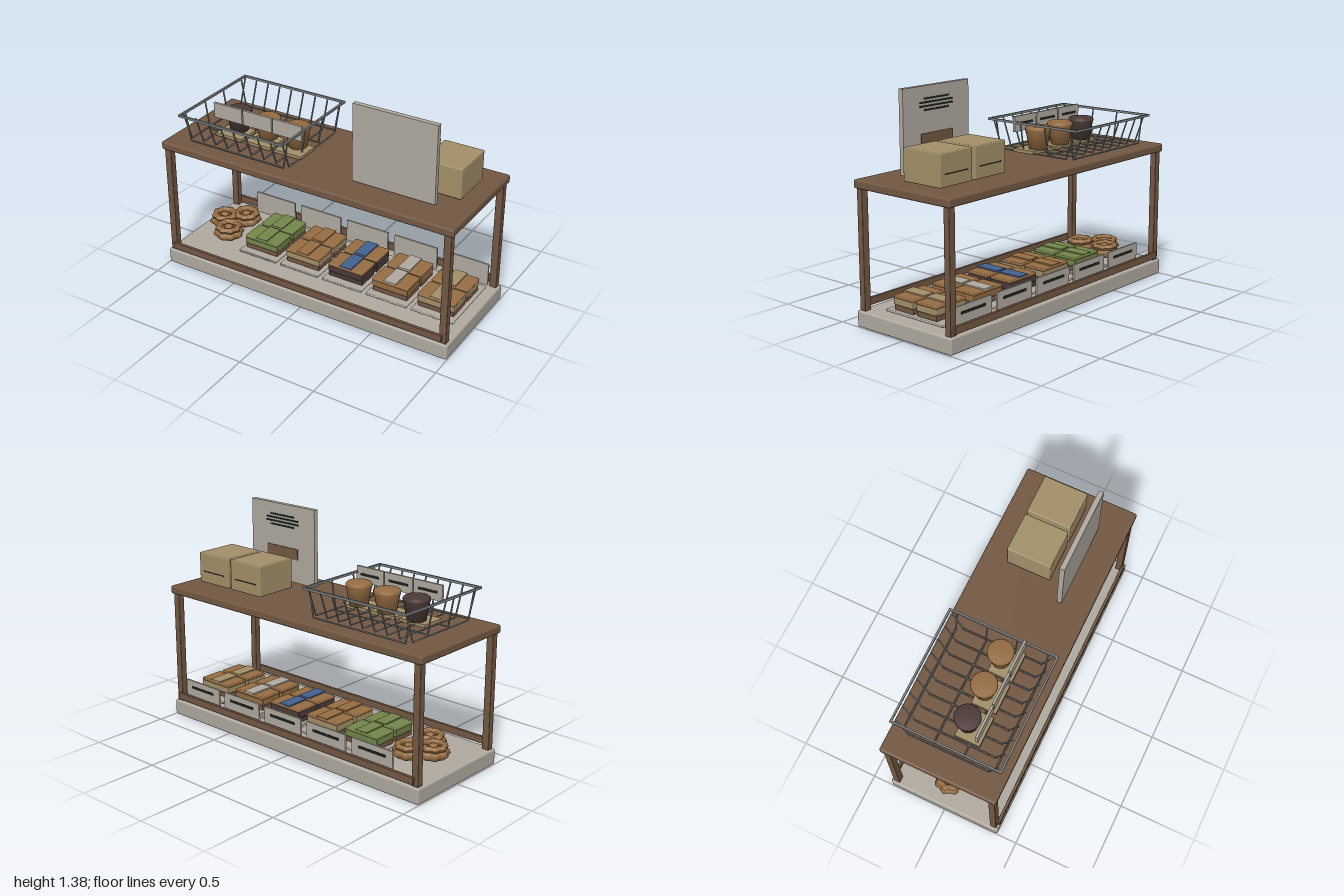
import * as THREE from 'three';
import { RoundedBoxGeometry } from 'three/addons/geometries/RoundedBoxGeometry.js';

const mat = (name, color) => Object.assign(new THREE.MeshStandardMaterial({ color }), { name });

export function createModel() {
  const M = {
    stone: mat('pale grey', 0xb0aaa0),
    wood: mat('wood brown', 0x735843),
    card: mat('cardboard tan', 0xa39069),
    bread: mat('baked brown', 0x966d42),
    plum: mat('dark plum', 0x4c3a38),
    green: mat('leaf green', 0x74864a),
    blue: mat('wrap blue', 0x44618f),
    metal: mat('wire grey', 0x808484),
    ink: mat('ink black', 0x1c221f),
  };
  const root = new THREE.Group();
  root.name = 'bakeryCounter';

  const group = (name, parent = root) => {
    const g = new THREE.Group();
    g.name = name;
    parent.add(g);
    return g;
  };
  const add = (name, geometry, material, parent = root) => {
    const m = new THREE.Mesh(geometry, material);
    m.name = name;
    parent.add(m);
    return m;
  };
  // Box given by its lower and upper limits; r rounds the edges
  const box = (name, x0, x1, y0, y1, z0, z1, material, parent, r = 0) => {
    const s = [x1 - x0, y1 - y0, z1 - z0];
    const geo = r ? new RoundedBoxGeometry(...s, 2, r) : new THREE.BoxGeometry(...s);
    const m = add(name, geo, material, parent);
    m.position.set((x0 + x1) / 2, (y0 + y1) / 2, (z0 + z1) / 2);
    return m;
  };
  // Thin round wire between two points
  const rod = (name, a, b, radius, material, parent) => {
    const p = new THREE.Vector3(...a), q = new THREE.Vector3(...b);
    const m = add(name, new THREE.CylinderGeometry(radius, radius, p.distanceTo(q), 6), material, parent);
    m.position.copy(p).add(q).multiplyScalar(0.5);
    m.quaternion.setFromUnitVectors(new THREE.Vector3(0, 1, 0), q.sub(p).normalize());
  };

  // Counter frame
  const frame = group('counterFrame');
  box('base', -1, 1, 0, 0.1, -0.37, 0.37, M.stone, frame, 0.012);
  box('counterTop', -1, 1, 0.82, 0.872, -0.37, 0.37, M.wood, frame, 0.012);
  for (const sx of [-1, 1]) for (const sz of [-1, 1]) {
    box('leg', sx * 0.963 - 0.023, sx * 0.963 + 0.023, 0.1, 0.825,
      sz * 0.336 - 0.021, sz * 0.336 + 0.021, M.wood, frame, 0.004);
  }
  for (const s of [-1, 1]) {
    box('lowerRail', -0.96, 0.96, 0.112, 0.157, s * 0.36 - 0.01, s * 0.36 + 0.01, M.wood, frame, 0.003);
  }

  // Sandwich trays with paired, banded sandwiches and a card behind each
  const kinds = [
    [M.wood, M.green, M.green, M.green],
    [M.wood, M.card, M.bread, M.bread],
    [M.plum, M.plum, M.bread, M.blue],
    [M.wood, M.bread, M.bread, M.stone],
    [M.wood, M.card, M.bread, M.card],
  ];
  kinds.forEach(([bottom, filling, lid, band], i) => {
    const x = -0.435 + i * 0.31;
    const g = group('sandwichTray');
    box('tray', x - 0.14, x + 0.14, 0.12, 0.135, -0.26, 0.19, M.stone, g, 0.005);
    for (const z of [0.063, -0.115]) {
      box('bottomLayer', x - 0.118, x + 0.118, 0.135, 0.167, z - 0.076, z + 0.076, bottom, g, 0.004);
      box('filling', x - 0.121, x + 0.121, 0.167, 0.207, z - 0.078, z + 0.078, filling, g, 0.005);
      box('topLayer', x - 0.122, x + 0.122, 0.205, 0.223, z - 0.079, z + 0.079, lid, g, 0.006);
      box('paperBand', x - 0.04, x + 0.04, 0.222, 0.231, z - 0.08, z + 0.08, band, g);
    }
    const cx = -0.632 + i * 0.3515;
    box('shelfCard', cx - 0.152, cx + 0.152, 0.1, 0.248, -0.331, -0.319, M.stone, g);
    box('cardLine', cx - 0.1, cx + 0.1, 0.197, 0.213, -0.334, -0.33, M.ink, g);
  });

  // Scalloped buns: a wide lower tier with a lobed ring and knob on top
  const scallop = (geo, lobes, depth) => {
    const p = geo.attributes.position;
    for (let i = 0; i < p.count; i++) {
      const k = 1 + depth * Math.cos(lobes * Math.atan2(p.getZ(i), p.getX(i)));
      p.setX(i, p.getX(i) * k);
      p.setZ(i, p.getZ(i) * k);
    }
    geo.computeVertexNormals();
    return geo;
  };
  const bunProfile = [[0, 0.135], [0.07, 0.135], [0.095, 0.16], [0.085, 0.182], [0.06, 0.19], [0, 0.195]]
    .map(([r, y]) => new THREE.Vector2(r, y));
  [[-0.73, 0.085], [-0.73, -0.115], [-0.842, -0.03]].forEach(([x, z], i) => {
    const bun = group('scallopedBun');
    bun.position.set(x, 0, z);
    bun.rotation.y = i * 0.4;
    add('bunBase', scallop(new THREE.LatheGeometry(bunProfile, 48), 8, 0.07), M.bread, bun);
    const ring = new THREE.TorusGeometry(0.062, 0.02, 8, 48).rotateX(Math.PI / 2);
    add('bunRing', scallop(ring, 8, 0.06), M.bread, bun).position.y = 0.202;
    add('bunKnob', new THREE.SphereGeometry(0.028, 12, 8).scale(1, 0.6, 1), M.bread, bun).position.y = 0.202;
  });

  // Wire basket: square rim and U-shaped wires in both directions
  const basket = group('wireBasket');
  const cx = -0.493, hx = 0.378, hz = 0.348, top = 1.07, low = 0.89;
  for (const s of [-1, 1]) {
    box('rimLong', cx - hx, cx + hx, top - 0.007, top + 0.007, s * (hz - 0.006) - 0.006, s * (hz - 0.006) + 0.006, M.metal, basket);
    const rx = cx + s * (hx - 0.006);
    box('rimShort', rx - 0.006, rx + 0.006, top - 0.007, top + 0.007, -hz, hz, M.metal, basket);
  }
  const uWire = (points) => {
    for (let i = 0; i < 3; i++) rod('basketWire', points[i], points[i + 1], 0.005, M.metal, basket);
  };
  for (let i = 0; i < 9; i++) {
    const x = cx - 0.355 + i * 0.08875;
    uWire([[x, top, -0.32], [x, low, -0.255], [x, low, 0.255], [x, top, 0.32]]);
  }
  for (const z of [-0.295, -0.1, 0.09, 0.285]) {
    uWire([[cx - 0.37, top, z], [cx - 0.338, low, z], [cx + 0.338, low, z], [cx + 0.37, top, z]]);
  }

  // Muffins on boards, each with a card in front
  const muffinProfile = [[0, 0.905], [0.057, 0.905], [0.076, 1.015], [0.08, 1.025], [0.08, 1.038], [0.07, 1.048], [0, 1.05]]
    .map(([r, y]) => new THREE.Vector2(r, y));
  [M.plum, M.bread, M.bread].forEach((m, i) => {
    const x = -0.65 + i * 0.215;
    const g = group('muffinServing');
    box('board', x - 0.096, x + 0.096, 0.885, 0.907, -0.012, 0.148, M.card, g, 0.004);
    const muffin = add('muffin', new THREE.LatheGeometry(muffinProfile, 20), m, g);
    muffin.position.set(x, 0, 0.03);
    box('muffinCard', x - 0.103, x + 0.103, 1.01, 1.107, 0.13, 0.145, M.stone, g);
    box('cardLine', x - 0.07, x + 0.07, 1.052, 1.067, 0.127, 0.131, M.ink, g);
  });

  // Menu sign with a painted panel and plain ruled lines on its back
  const sign = group('menuSign');
  box('signBoard', 0.26, 0.797, 0.885, 1.377, 0.167, 0.198, M.stone, sign);
  box('signPanel', 0.4, 0.66, 1.035, 1.105, 0.161, 0.168, M.wood, sign);
  [0.2, 0.27, 0.27, 0.2].forEach((w, i) => {
    const y = 1.304 - i * 0.022;
    box('signLine', 0.53 - w / 2, 0.53 + w / 2, y - 0.005, y + 0.005, 0.162, 0.168, M.ink, sign);
  });

  // Cardboard boxes
  for (const x of [0.49, 0.768]) {
    const g = group('cardboardBox');
    box('boxBody', x - 0.128, x + 0.128, 0.885, 1.077, -0.21, 0.073, M.card, g, 0.007);
    box('boxLine', x - 0.09, x + 0.09, 0.956, 0.962, -0.213, -0.209, M.ink, g);
  }
  return root;
}
